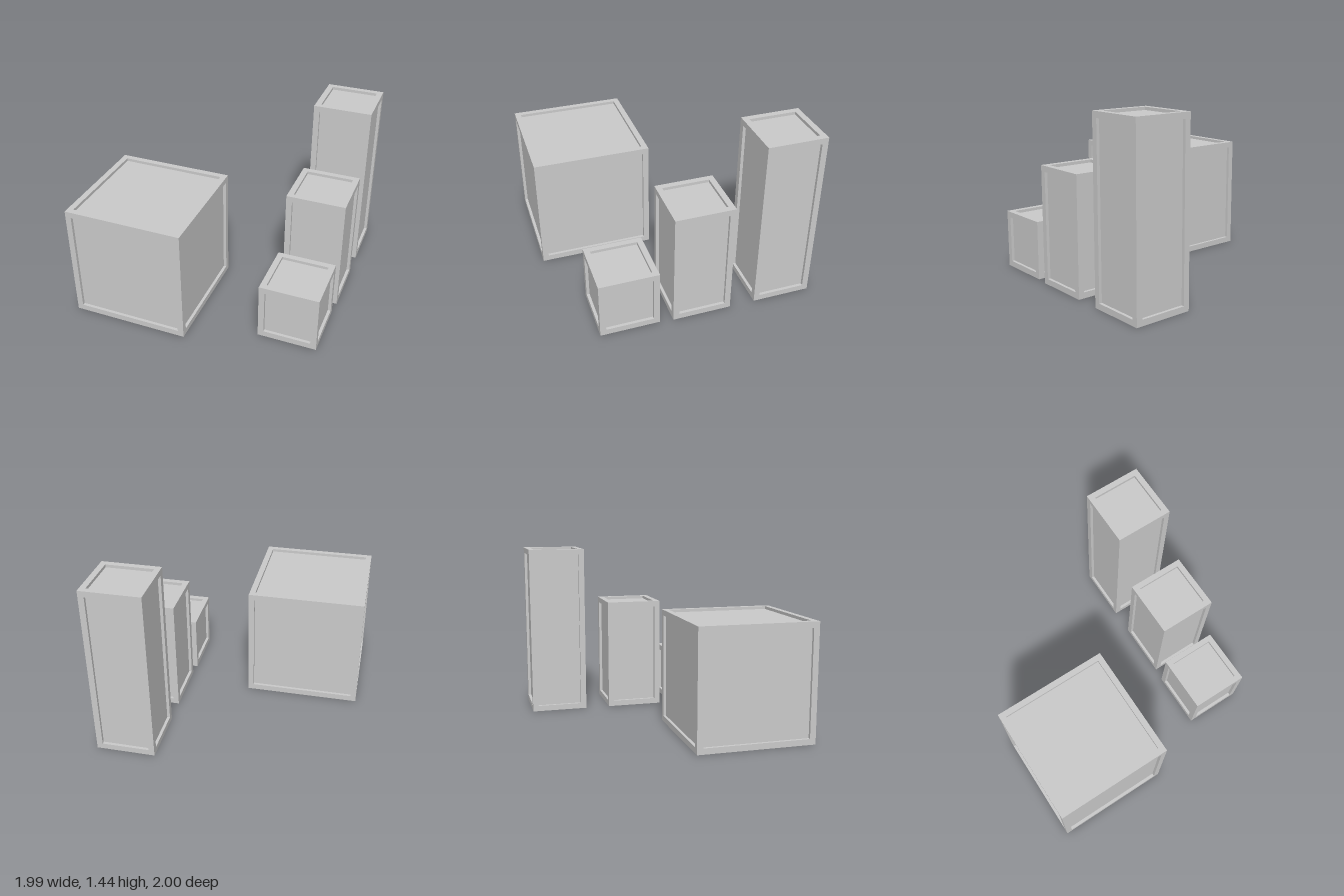
import * as THREE from 'three';

const BORDER = 0.048; // width of the frame around each face
const RECESS = 0.024; // depth of the sunken panel

// Box whose six faces each have a flat frame around a sunken panel
function framedBox(w, h, d) {
  const half = [w / 2, h / 2, d / 2];
  const corners = [[-1, -1], [1, -1], [1, 1], [-1, 1]];
  const positions = [];
  const quad = (a, b, c, e) => positions.push(...a, ...b, ...c, ...a, ...c, ...e);

  for (let n = 0; n < 3; n++) {
    for (const side of [1, -1]) {
      // pick the in-plane axes so that u x v points outwards
      const u = (n + (side > 0 ? 1 : 2)) % 3;
      const v = (n + (side > 0 ? 2 : 1)) % 3;
      const ring = (inset, depth) => corners.map(([cu, cv]) => {
        const p = [0, 0, 0];
        p[u] = cu * (half[u] - inset);
        p[v] = cv * (half[v] - inset);
        p[n] = side * (half[n] - depth);
        return p;
      });
      // outer edge, inner edge of the frame, edge of the panel
      const rings = [ring(0, 0), ring(BORDER, 0), ring(BORDER, RECESS)];
      for (let r = 0; r < 2; r++) {
        for (let i = 0; i < 4; i++) {
          const j = (i + 1) % 4;
          quad(rings[r][i], rings[r][j], rings[r + 1][j], rings[r + 1][i]);
        }
      }
      quad(...rings[2]);
    }
  }
  const geometry = new THREE.BufferGeometry();
  geometry.setAttribute('position', new THREE.Float32BufferAttribute(positions, 3));
  geometry.computeVertexNormals();
  return geometry;
}

export function createModel() {
  const group = new THREE.Group();
  group.name = 'crates';
  const material = new THREE.MeshStandardMaterial({ color: 0xcccccc, flatShading: true });

  // name, size (w, h, d), centre (x, z)
  const crates = [
    ['largeCrate', [0.96, 0.96, 0.96], [-0.517, 0.52]],
    ['smallCrate', [0.48, 0.48, 0.48], [0.74, 0.518]],
    ['mediumCrate', [0.48, 0.96, 0.48], [0.752, -0.07]],
    ['tallCrate', [0.48, 1.44, 0.48], [0.752, -0.76]],
  ];
  for (const [name, size, [x, z]] of crates) {
    const crate = new THREE.Mesh(framedBox(...size), material);
    crate.name = name;
    crate.position.set(x, size[1] / 2, z);
    group.add(crate);
  }
  return group;
}
